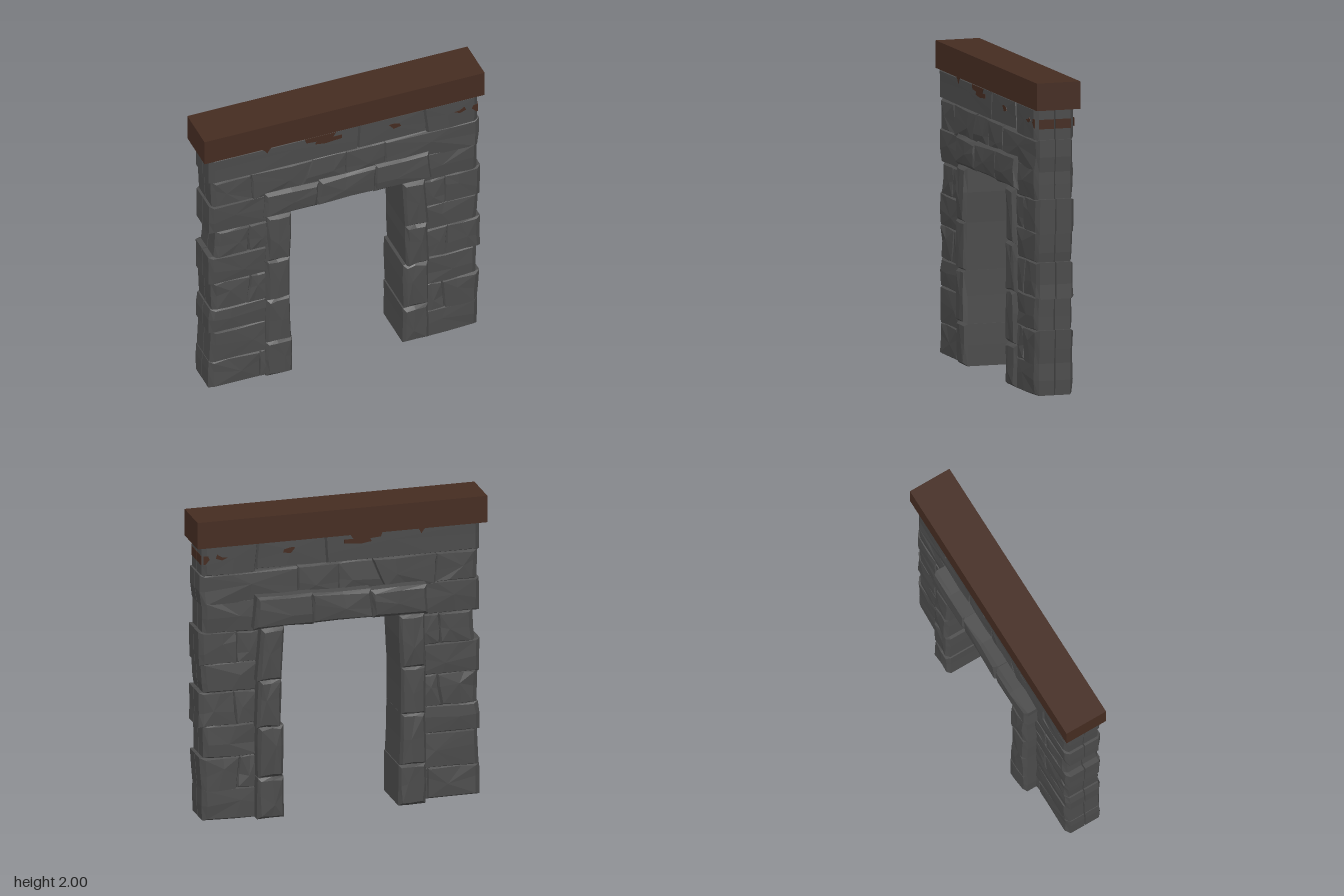
import * as THREE from 'three';

const stoneGrey = new THREE.MeshStandardMaterial({ color: 0x4b4b4b, flatShading: true });
stoneGrey.name = 'stone grey';
const woodBrown = new THREE.MeshStandardMaterial({ color: 0x452c21, flatShading: true });
woodBrown.name = 'wood brown';

// Small seeded random source, 0..1
function seeded(seed) {
  let s = (seed * 7919 + 104729) % 2147483647;
  const next = () => (s = (s * 16807) % 2147483647) / 2147483647;
  next(); next();
  return next;
}

// Chipped block. rect = [x0, x1, y0, y1, leanLeft, leanRight] (lean shifts the top corner in x);
// sections = [z, inset] loops from back to front; rough = size of the chips
function stoneGeometry(rect, sections, seed, rough) {
  const [x0, x1, y0, y1, l0 = 0, l1 = 0] = rect;
  const rnd = seeded(seed);
  const cx = (x0 + x1 + (l0 + l1) / 2) / 2, cy = (y0 + y1) / 2;
  const hw = (x1 - x0) / 2, hh = (y1 - y0) / 2;
  const corners = [[x0, y0], [x1, y0], [x1 + l1, y1], [x0 + l0, y1]];
  // Outline: corners plus one wandering point on each edge
  const outline = [];
  corners.forEach((a, i) => {
    const b = corners[(i + 1) % 4], t = 0.3 + rnd() * 0.4;
    outline.push(a, [a[0] + (b[0] - a[0]) * t, a[1] + (b[1] - a[1]) * t]);
  });
  const shaped = outline.map(([x, y]) => {
    const grow = rnd() * rough * 0.7;
    return [x + (x - cx) / hw * grow, y + (y - cy) / hh * grow];
  });
  const chips = shaped.map(() => [rnd(), rnd()]);
  const n = shaped.length, pos = [], idx = [];
  const midZ = (sections[0][0] + sections[sections.length - 1][0]) / 2;
  for (const [z, inset] of sections) {
    shaped.forEach(([x, y], i) => {
      const chip = inset * (0.7 + chips[i][0] * 0.6);
      const endCut = inset > 0 && Math.abs(x) > 0.84 ? Math.sign(x) * 0.018 : 0;
      const dz = inset > 0 ? Math.sign(midZ - z) * chips[i][1] * rough : 0;
      pos.push(x - (x - cx) / hw * chip - endCut, y - (y - cy) / hh * chip, z + dz);
    });
  }
  for (let s = 0; s < sections.length - 1; s++) {
    for (let i = 0; i < n; i++) {
      const a = s * n + i, b = s * n + (i + 1) % n;
      idx.push(a, b, b + n, a, b + n, a + n);
    }
  }
  // Faceted end caps around an off-centre point
  const ox = cx + (rnd() - 0.5) * hw * 0.9, oy = cy + (rnd() - 0.5) * hh * 0.7;
  const last = (sections.length - 1) * n, c = pos.length / 3;
  pos.push(ox, oy, sections[0][0], ox, oy, sections[sections.length - 1][0]);
  for (let i = 0; i < n; i++) {
    const j = (i + 1) % n;
    idx.push(c, j, i, c + 1, last + i, last + j);
  }
  const g = new THREE.BufferGeometry();
  g.setAttribute('position', new THREE.Float32BufferAttribute(pos, 3));
  g.setIndex(idx);
  const flat = g.toNonIndexed();
  flat.computeVertexNormals();
  return flat;
}

const MID = 0.036; // plane between the two wall faces
const flip = z => 2 * MID - z;

const topCourse = [
  [-0.91, 0.09, 1.64, 1.83, 0, 0.01], [0.09, 0.56, 1.645, 1.83, 0.01, -0.02], [0.56, 0.905, 1.625, 1.83, -0.02, 0],
];
const upperCourses = [
  [-0.885, -0.62, 1.45, 1.64, -0.01, -0.01], [-0.62, -0.29, 1.44, 1.64, -0.01, 0.08],
  [-0.29, 0.01, 1.44, 1.64, 0.08, 0.01], [0.01, 0.28, 1.44, 1.64], [0.28, 0.905, 1.43, 1.63, 0, 0.01],
  [-0.905, -0.5, 1.24, 1.45], [0.54, 0.895, 1.24, 1.45, 0, 0.005],
];
const leftPier = [
  [-0.875, -0.65, 1.04, 1.24, 0.01, 0.01], [-0.65, -0.5, 1.04, 1.24, 0.01, 0],
  [-0.905, -0.5, 0.84, 1.04],
  [-0.89, -0.66, 0.63, 0.84, -0.005, 0.03], [-0.66, -0.5, 0.63, 0.84, 0.03, 0],
  [-0.91, -0.5, 0.45, 0.63, 0.01, 0],
  [-0.9, -0.5, 0.22, 0.45, 0.01, 0], [-0.91, -0.57, 0.02, 0.22], [-0.57, -0.5, 0.02, 0.22],
];
const rightPier = [
  [0.53, 0.68, 1.04, 1.24], [0.68, 0.915, 1.04, 1.25, 0, 0.005],
  [0.54, 0.895, 0.85, 1.04, 0, 0.01],
  [0.54, 0.68, 0.63, 0.85, 0, 0.02], [0.68, 0.92, 0.63, 0.85, 0.02, 0],
  [0.54, 0.895, 0.42, 0.63],
  [0.54, 0.68, 0.21, 0.42, 0, -0.02], [0.68, 0.895, 0.2, 0.42, -0.02, 0.02],
  [0.54, 0.9, 0.01, 0.21],
];
const jambs = [
  [-0.53, -0.36, 0.02, 0.28], [-0.53, -0.37, 0.29, 0.62, 0, -0.005], [-0.53, -0.375, 0.62, 0.93],
  [-0.53, -0.375, 0.93, 1.27, 0.01, 0.01],
  [0.395, 0.56, 0.02, 0.28], [0.4, 0.56, 0.29, 0.62], [0.42, 0.565, 0.62, 0.93, -0.01, -0.01],
  [0.41, 0.56, 0.93, 1.27, -0.015, -0.02],
];
const lintel = [
  [-0.545, -0.19, 1.28, 1.46, 0.01, 0.015], [-0.19, 0.2, 1.285, 1.47, 0.015, 0.005],
  [0.2, 0.58, 1.28, 1.475, 0.01, -0.02],
];

// Irregular smear outlines on the top course
const smears = [
  [[-0.27, 1.82], [-0.06, 1.82], [-0.08, 1.79], [-0.02, 1.79], [-0.02, 1.765], [-0.13, 1.755], [-0.2, 1.765], [-0.19, 1.785], [-0.26, 1.79]],
  [[-0.56, 1.825], [-0.5, 1.825], [-0.515, 1.805], [-0.525, 1.785], [-0.54, 1.81]],
  [[0.3, 1.77], [0.33, 1.735], [0.38, 1.745], [0.37, 1.765], [0.32, 1.775]],
  [[0.74, 1.745], [0.78, 1.73], [0.82, 1.745], [0.81, 1.77], [0.78, 1.75]],
  [[0.86, 1.74], [0.89, 1.71], [0.9, 1.71], [0.9, 1.765], [0.87, 1.765]],
];

export function createModel() {
  const model = new THREE.Group();
  model.name = 'stoneFireplaceSurround';
  const add = (name, geometry, material, parent = model) => {
    const mesh = new THREE.Mesh(geometry, material);
    mesh.name = name;
    parent.add(mesh);
    return mesh;
  };
  const group = name => {
    const g = new THREE.Group();
    g.name = name;
    model.add(g);
    return g;
  };

  // Wall courses: a front leaf and its mirrored back leaf
  const walls = { topCourse, upperCourses, leftPier, rightPier };
  let seed = 1;
  for (const [name, stones] of Object.entries(walls)) {
    const parent = group(name);
    const rough = name === 'topCourse' ? 0.002 : 0.013;
    for (const rect of stones) {
      seed++;
      const front = [[MID + 0.004, 0], [0.14, 0], [0.168, 0.011]];
      const back = front.map(([z, inset]) => [flip(z), inset]).reverse();
      add('frontWallStone', stoneGeometry(rect, front, seed, rough), stoneGrey, parent);
      add('backWallStone', stoneGeometry(rect, back, seed, rough), stoneGrey, parent);
    }
  }

  // Opening surround: stones running through the whole depth
  const through = [[-0.186, 0.018], [-0.155, 0], [0.165, 0], [0.194, 0.018]];
  for (const [name, stones] of Object.entries({ jambs, lintel })) {
    const parent = group(name);
    for (const rect of stones) {
      add(name === 'jambs' ? 'jambStone' : 'lintelStone', stoneGeometry(rect, through, ++seed, 0.012), stoneGrey, parent);
    }
  }

  // Mantel beam
  const beam = add('mantelBeam', new THREE.BoxGeometry(1.895, 0.175, 0.29), woodBrown);
  beam.position.set(-0.002, 1.9125, 0.025);

  // Brown smears, thin plates on both wall faces
  const stains = group('woodStains');
  for (const points of smears) {
    const shape = new THREE.Shape(points.map(([x, y]) => new THREE.Vector2(x, y)));
    const plate = new THREE.ExtrudeGeometry(shape, { depth: 0.005, bevelEnabled: false });
    add('frontStain', plate, woodBrown, stains).position.z = 0.1655;
    add('backStain', plate, woodBrown, stains).position.z = flip(0.1705);
  }
  // Stain band around the end of the top course
  for (const z of [0.092, flip(0.092)]) {
    const band = add('endStain', new THREE.BoxGeometry(0.009, 0.06, 0.1), woodBrown, stains);
    band.position.set(0.9045, 1.732, z);
  }
  return model;
}
